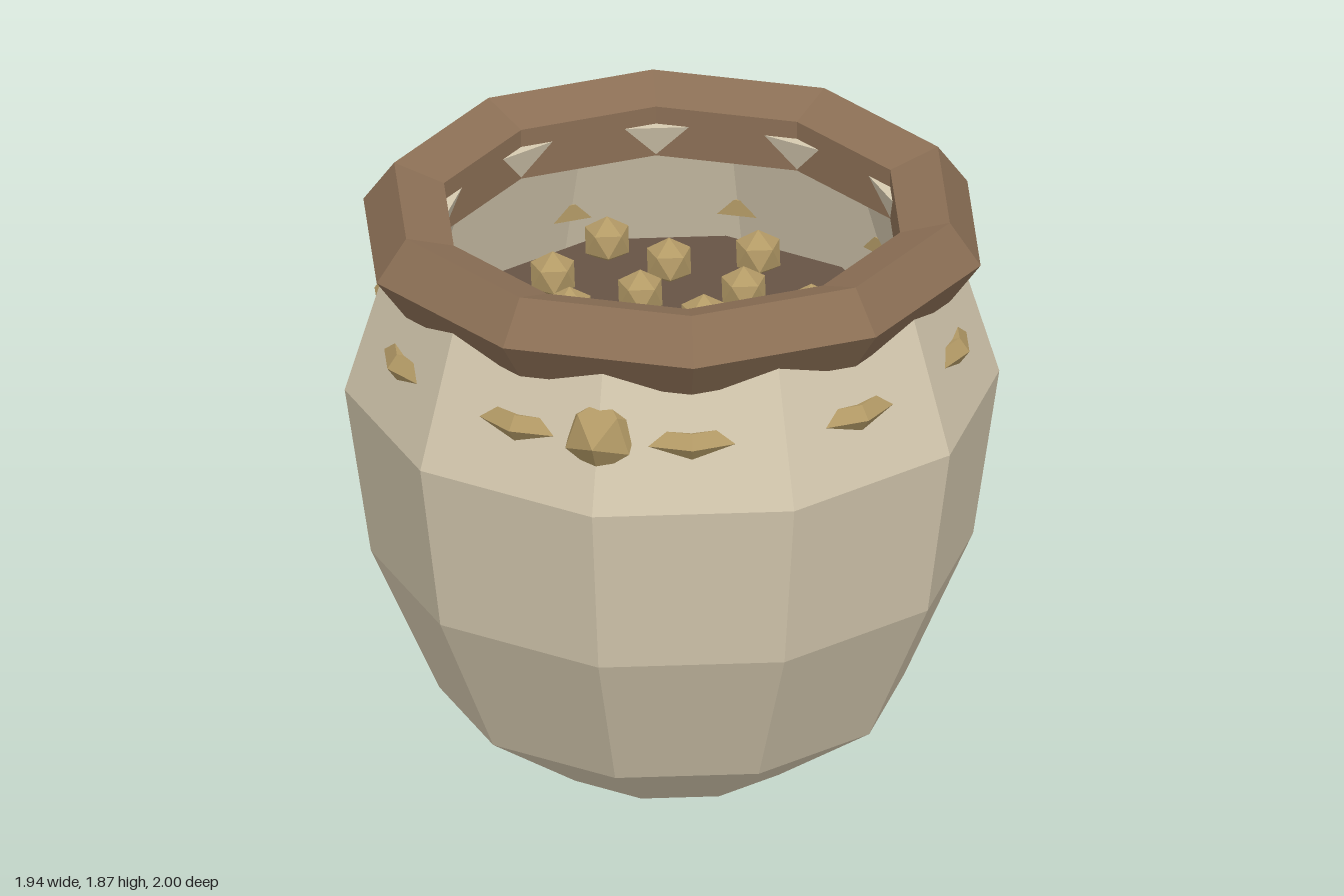
import * as THREE from 'three';

const SIDES = 10;
const flat = (color) => new THREE.MeshStandardMaterial({ color, flatShading: true });

export function createModel() {
  const group = new THREE.Group();
  group.name = 'pot';
  const clay = flat(0xd6cab0), wood = flat(0x8b6f55), soilMat = flat(0x65523f), gold = flat(0xb39a66);
  soilMat.color.set(0x665345);
  clay.side = THREE.DoubleSide;

  const add = (name, geometry, material, x = 0, y = 0, z = 0) => {
    const mesh = new THREE.Mesh(geometry, material);
    mesh.name = name;
    mesh.position.set(x, y, z);
    group.add(mesh);
    return mesh;
  };

  // Thick-walled body: outside going up, over the lip, then down the inside
  const profile = [
    [0, 0], [0.385, 0], [0.71, 0.22], [0.92, 0.69], [1, 1.235], [0.84, 1.76],
    [0.72, 1.76], [0.89, 1.235], [0.8, 0.69], [0.6, 0.3], [0, 0.2],
  ].map(([r, y]) => new THREE.Vector2(r, y));
  add('body', new THREE.LatheGeometry(profile, SIDES), clay);

  // Chunky rim, and a thin band that breaks through the wall at its corners
  const ring = (name, radius, tube, y, material) =>
    add(name, new THREE.TorusGeometry(radius, tube, 5, SIDES).rotateX(Math.PI / 2), material, 0, y);
  ring('rim', 0.83, 0.14, 1.735, wood);
  ring('band', 0.89, 0.045, 1.44, gold);

  // Flat filling
  add('filling', new THREE.CylinderGeometry(0.675, 0.675, 0.04, SIDES), soilMat, 0, 1.39);

  // Nuggets lying on the filling, each with a corner pointing up
  const tilt = 0.5536;
  const nugget = new THREE.IcosahedronGeometry(0.078, 0).rotateZ(tilt);
  const spots = [
    [-0.32, -0.46], [0.15, -0.48], [-0.1, -0.36], [-0.42, -0.18],
    [-0.13, -0.12], [0.17, -0.22], [0.4, -0.15], [-0.31, 0.05],
    [0.1, 0], [0.52, 0.11], [-0.45, 0.25], [0.02, 0.23],
    [0.28, 0.18], [-0.18, 0.35], [0.2, 0.43], [-0.07, 0.56],
  ];
  spots.forEach(([x, z]) => add('nugget', nugget, gold, x, 1.46, z));

  // Faceted stud set in the front of the wall
  add('frontStud', new THREE.IcosahedronGeometry(0.118, 0).rotateX(tilt), gold, 0, 1.46, 0.882);

  return group;
}
